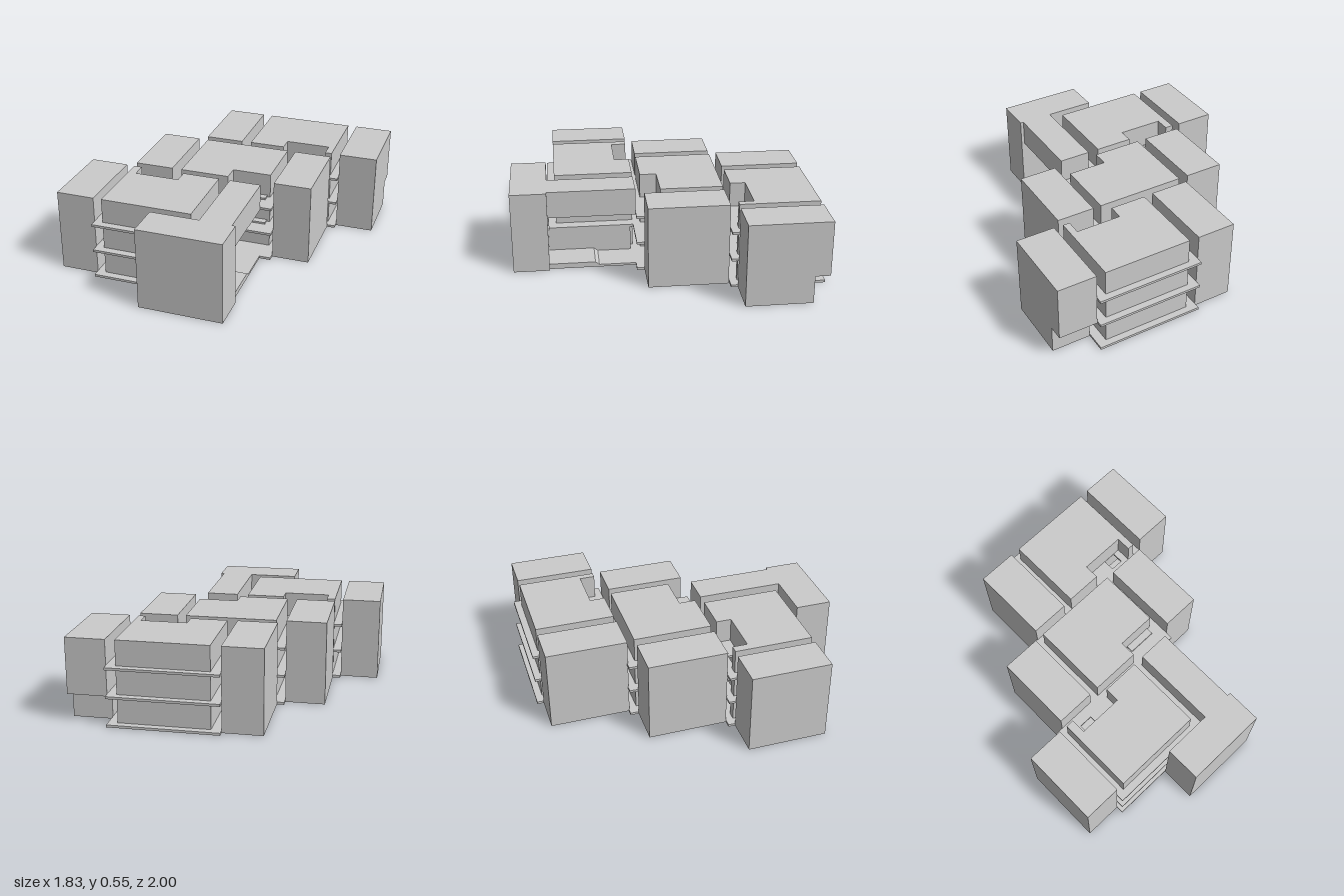
import * as THREE from 'three';

const material = new THREE.MeshStandardMaterial({ color: 0xcccccc, flatShading: true });
const HEIGHT = 0.55, SLAB = 0.016;
const LEVELS = [0, 0.185, 0.37];

export function createModel() {
  const model = new THREE.Group();

  const add = (name, geometry) => {
    const mesh = new THREE.Mesh(geometry, material);
    mesh.name = name;
    model.add(mesh);
    return mesh;
  };

  // Box given by its limits on each axis
  const box = (name, x0, x1, y0, y1, z0, z1) => {
    const geometry = new THREE.BoxGeometry(x1 - x0, y1 - y0, z1 - z0);
    geometry.translate((x0 + x1) / 2, (y0 + y1) / 2, (z0 + z1) / 2);
    return add(name, geometry);
  };

  // Upright prism from a plan outline of [x, z] points, with optional rectangular openings
  const toPlan = (points) => points.map(([x, z]) => new THREE.Vector2(x, -z));
  const prism = (name, outline, y0, y1, openings = []) => {
    const shape = new THREE.Shape(toPlan(outline));
    for (const [x0, x1, z0, z1] of openings) {
      shape.holes.push(new THREE.Path(toPlan([[x0, z0], [x0, z1], [x1, z1], [x1, z0]])));
    }
    const geometry = new THREE.ExtrudeGeometry(shape, { depth: y1 - y0, bevelEnabled: false });
    geometry.rotateX(-Math.PI / 2).translate(0, y0, 0);
    return add(name, geometry);
  };

  // Stepped floor slabs shared by the three units, open at the stairs
  const slabOutline = [
    [-0.05, -1], [0.66, -1], [0.66, -0.385], [0.355, -0.385], [0.355, 0.19], [0.07, 0.19],
    [0.07, 0.76], [-0.665, 0.76], [-0.665, 0.14], [-0.355, 0.14], [-0.355, -0.435], [-0.05, -0.435],
  ];
  const stairOpenings = [[0.425, 0.51, -0.533, -0.458], [-0.515, -0.425, 0.213, 0.288]];
  LEVELS.forEach((y, i) => prism('floorSlab', slabOutline, y, y + SLAB, i ? stairOpenings : []));

  // Unit cores, each with a recessed balcony
  prism('backCore', [
    [0.015, -0.955], [0.6, -0.955], [0.6, -0.435], [0.555, -0.435],
    [0.555, -0.535], [0.255, -0.535], [0.255, -0.435], [0.015, -0.435],
  ], 0, HEIGHT);
  prism('middleCore', [
    [-0.29, -0.38], [0.3, -0.38], [0.3, 0.03], [0.04, 0.03], [0.04, 0.14], [-0.29, 0.14],
  ], 0, HEIGHT);
  prism('frontCore', [
    [-0.61, 0.19], [-0.555, 0.19], [-0.555, 0.29], [-0.255, 0.29],
    [-0.255, 0.19], [-0.005, 0.19], [-0.005, 0.71], [-0.61, 0.71],
  ], 0, HEIGHT);

  // Side towers
  box('backRightTower', -0.308, -0.05, 0, HEIGHT, -0.957, -0.43);
  box('middleRightTower', -0.613, -0.355, 0, HEIGHT, -0.38, 0.14);
  box('middleLeftTower', 0.355, 0.605, 0, HEIGHT, -0.38, 0.14);
  box('frontRightTower', -0.918, -0.665, 0, HEIGHT, 0.185, 0.71);
  // This tower overhangs its rear ground-floor entrance
  box('backLeftTowerBase', 0.66, 0.915, 0, 0.185, -0.86, -0.43);
  box('backLeftTower', 0.66, 0.915, 0.185, HEIGHT, -0.957, -0.43);

  // Front block and the top-floor wing bridging behind it
  box('frontBlock', -0.255, 0.302, 0, HEIGHT, 0.763, 1);
  box('bridgeWing', 0.07, 0.28, 0.37, HEIGHT, 0.19, 0.763);
  box('groundFloorWall', -0.01, 0.07, 0, 0.185, 0.21, 0.763);

  // Sheltered entrance floor with a short ramp
  const ramp = new THREE.Shape([
    [-0.763, 0], [-0.185, 0], [-0.185, SLAB], [-0.435, SLAB], [-0.46, 0.036], [-0.763, 0.036],
  ].map(([x, y]) => new THREE.Vector2(x, y)));
  add('entranceRamp', new THREE.ExtrudeGeometry(ramp, { depth: 0.21, bevelEnabled: false })
    .rotateY(Math.PI / 2).translate(0.07, 0, 0));

  // Stair landings half filling each opening, and the low ledge on the middle balcony
  for (const y of LEVELS.slice(1)) {
    box('stairLanding', 0.425, 0.51, y - 0.03, y, -0.497, -0.458);
    box('stairLanding', -0.515, -0.425, y - 0.03, y, 0.25, 0.288);
    box('balconyLedge', 0.09, 0.28, y + SLAB, y + SLAB + 0.012, 0.03, 0.077);
  }
  return model;
}
